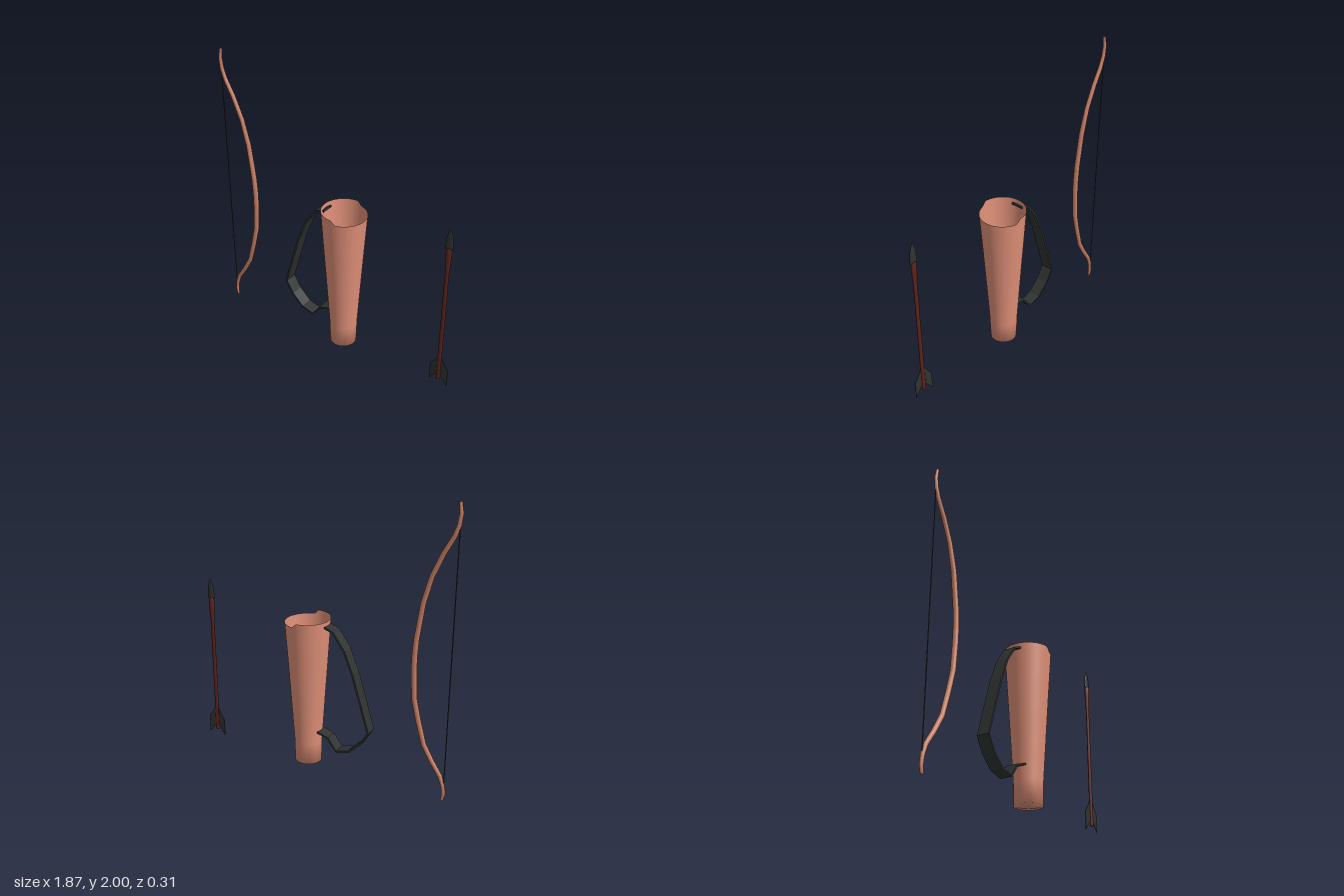
import * as THREE from 'three';

const leather = new THREE.MeshStandardMaterial({ color: 0xde8f77, side: THREE.DoubleSide });
const bowWood = new THREE.MeshStandardMaterial({ color: 0xc97f63 });
const shaftWood = new THREE.MeshStandardMaterial({ color: 0x5e231c });
const dark = new THREE.MeshStandardMaterial({ color: 0x303232, side: THREE.DoubleSide });

function part(name, geometry, material, x = 0, y = 0, z = 0) {
  const mesh = new THREE.Mesh(geometry, material);
  mesh.name = name;
  mesh.position.set(x, y, z);
  return mesh;
}

// In-plane unit normal of a polyline at point i
function normalAt(pts, i) {
  const a = pts[Math.max(i - 1, 0)], b = pts[Math.min(i + 1, pts.length - 1)];
  const dx = b[0] - a[0], dy = b[1] - a[1], l = Math.hypot(dx, dy);
  return [dy / l, -dx / l];
}

// Oval tube along points [x, y, half thickness, half depth], closed at both ends
function ovalTube(pts, sides) {
  const pos = [], idx = [];
  pts.forEach(([x, y, t, d], i) => {
    const [nx, ny] = normalAt(pts, i);
    for (let s = 0; s < sides; s++) {
      const a = (s / sides) * Math.PI * 2, c = Math.cos(a) * t;
      pos.push(x + nx * c, y + ny * c, Math.sin(a) * d);
    }
  });
  for (let i = 0; i < pts.length - 1; i++) {
    for (let s = 0; s < sides; s++) {
      const a = i * sides + s, b = i * sides + (s + 1) % sides;
      idx.push(a, a + sides, b, b, a + sides, b + sides);
    }
  }
  const last = (pts.length - 1) * sides;
  for (let s = 1; s < sides - 1; s++) {
    idx.push(0, s, s + 1, last, last + s + 1, last + s);
  }
  const g = new THREE.BufferGeometry();
  g.setAttribute('position', new THREE.Float32BufferAttribute(pos, 3));
  g.setIndex(idx);
  g.computeVertexNormals();
  return g;
}

// Surface turned around the y axis from [radius, y] points, bottom to top
function turned(profile, sides) {
  return new THREE.LatheGeometry(profile.map(p => new THREE.Vector2(...p)), sides);
}

// Flat outline given a thickness centred on z = 0
function plate(points, depth) {
  const shape = new THREE.Shape(points.map(p => new THREE.Vector2(...p)));
  return new THREE.ExtrudeGeometry(shape, { depth, bevelEnabled: false }).translate(0, 0, -depth / 2);
}

function makeBow() {
  const bow = new THREE.Group();
  bow.name = 'bow';
  // Recurved limbs, thickest at the grip, listed bottom to top
  const limbs = [
    [-0.912, 0.002, 0.01, 0.009], [-0.921, 0.05, 0.013, 0.012], [-0.914, 0.11, 0.014, 0.013],
    [-0.89, 0.18, 0.015, 0.014], [-0.83, 0.27, 0.016, 0.015], [-0.768, 0.38, 0.017, 0.015],
    [-0.723, 0.54, 0.018, 0.016], [-0.688, 0.69, 0.018, 0.018], [-0.677, 0.88, 0.019, 0.019],
    [-0.676, 0.98, 0.019, 0.019], [-0.683, 1.1, 0.018, 0.019], [-0.717, 1.35, 0.017, 0.018],
    [-0.765, 1.53, 0.017, 0.015], [-0.83, 1.68, 0.016, 0.015], [-0.89, 1.79, 0.015, 0.014],
    [-0.914, 1.86, 0.014, 0.013], [-0.923, 1.93, 0.013, 0.012], [-0.913, 1.998, 0.01, 0.009],
  ];
  bow.add(part('bowLimbs', ovalTube(limbs, 12), bowWood));
  bow.add(part('bowString', new THREE.CylinderGeometry(0.0035, 0.0035, 1.74, 6), dark, -0.92, 0.99));
  return bow;
}

function makeQuiver() {
  const quiver = new THREE.Group();
  quiver.name = 'quiver';
  const rim = 1.085;
  // Base and wall in one open-topped shell
  const shell = turned([[0, 0.047], [0.094, 0.047], [0.096, 0.2], [0.11, 0.42], [0.125, 0.65], [0.14, 0.87],
    [0.155, rim]], 72);
  // Raise the rim on the strap side
  const p = shell.attributes.position;
  for (let i = 0; i < p.count; i++) {
    if (p.getY(i) > rim - 0.01) {
      p.setY(i, rim + 0.03 * (1 - THREE.MathUtils.smoothstep(p.getX(i), 0, 0.035)));
    }
  }
  quiver.add(part('quiverShell', shell, leather, 0.09));

  // Flat strap band: outline offset to both sides of its path
  const path = [[-0.045, 1.08], [-0.065, 1.075], [-0.12, 1.053], [-0.2, 0.94], [-0.265, 0.78], [-0.32, 0.6],
    [-0.386, 0.38], [-0.33, 0.285], [-0.245, 0.205], [-0.15, 0.18], [-0.085, 0.267], [0, 0.293]];
  const offset = t => path.map(([x, y], i) => {
    const n = normalAt(path, i);
    return [x + n[0] * t, y + n[1] * t];
  });
  quiver.add(part('strap', plate([...offset(0.0065), ...offset(-0.0065).reverse()], 0.088), dark));
  return quiver;
}

function makeArrow() {
  const arrow = new THREE.Group();
  arrow.name = 'arrow';
  arrow.position.x = 0.867;
  // Shaft swelling into the head socket
  const shaft = turned([[0, 0.082], [0.015, 0.082], [0.0145, 0.6], [0.014, 0.95], [0.02, 1.05], [0.02, 1.125],
    [0, 1.125]], 12).scale(1, 1, 0.75);
  arrow.add(part('arrowShaft', shaft, shaftWood));

  // Leaf-shaped head, a thin blade front to back
  const head = turned([[0, 1.12], [0.024, 1.115], [0.029, 1.135], [0.023, 1.2], [0.012, 1.24], [0, 1.26]], 12);
  arrow.add(part('arrowHead', head.scale(1, 1, 0.35), dark));

  // Two swept fletchings
  for (const side of [-1, 1]) {
    const fin = [[0.01, 0.275], [0.03, 0.235], [0.068, 0.175], [0.07, 0.045], [0.01, 0.122]];
    const mesh = part(side > 0 ? 'leftFletching' : 'rightFletching', plate(fin, 0.004), dark);
    mesh.rotation.y = side > 0 ? 0 : Math.PI - 0.1;
    arrow.add(mesh);
  }
  return arrow;
}

export function createModel() {
  const model = new THREE.Group();
  model.name = 'archerySet';
  model.add(makeBow(), makeQuiver(), makeArrow());
  return model;
}
